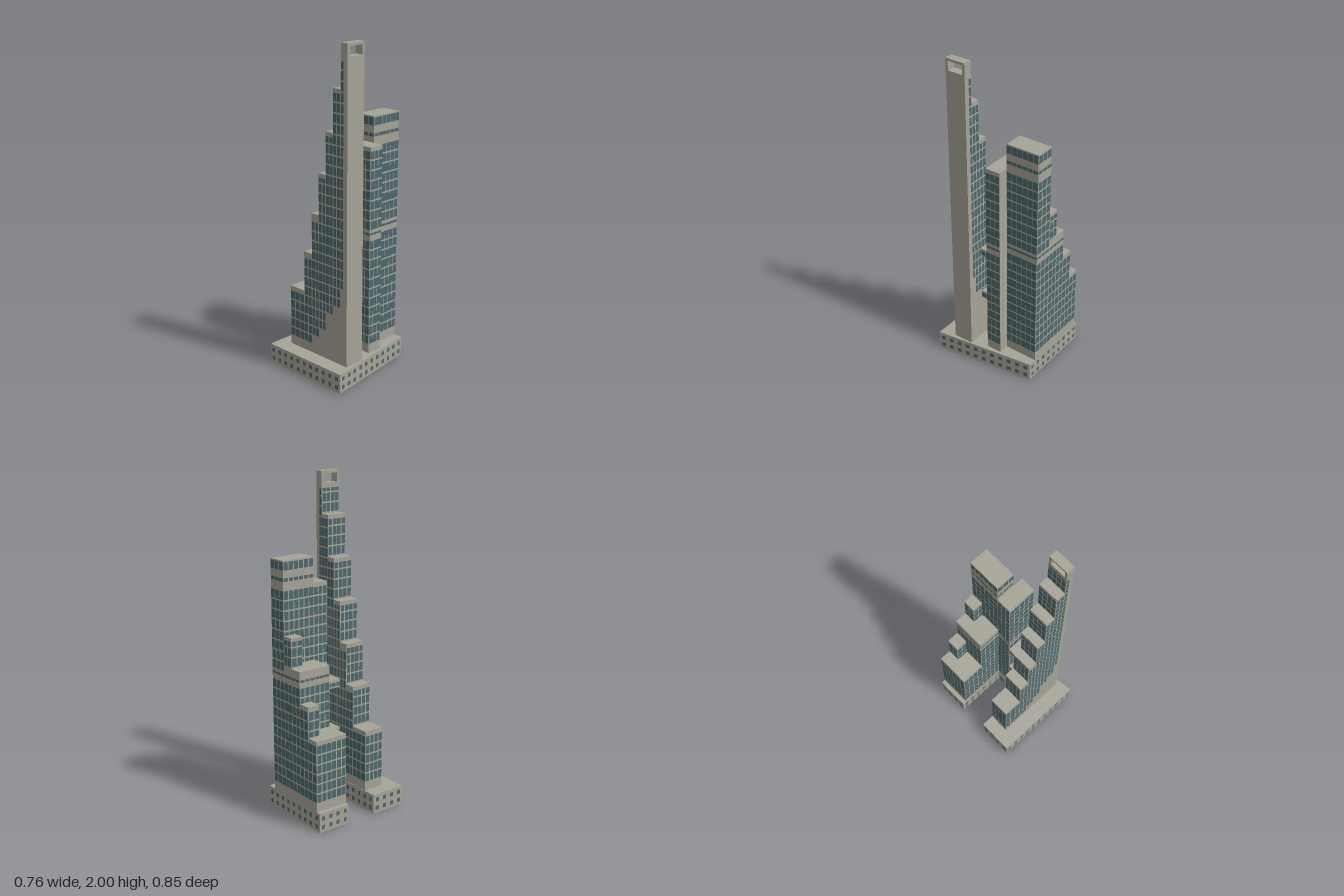
import * as THREE from 'three';
import { mergeGeometries } from 'three/addons/utils/BufferGeometryUtils.js';

const stone = new THREE.MeshStandardMaterial({ color: 0xa6a396 });
stone.name = 'stone';
const glass = new THREE.MeshStandardMaterial({ color: 0x4c686e });
glass.name = 'glass';

const FLOOR = 0.06;
const PODIUM = 0.12;

function addMesh(parent, name, geometry, material) {
  const mesh = new THREE.Mesh(geometry, material);
  mesh.name = name;
  parent.add(mesh);
}

// One floor of glazing after another between two heights
function floors(from, to) {
  const rows = [];
  for (let y = from; y < to - 0.015; y += FLOOR) rows.push([y, Math.min(y + FLOOR - 0.01, to)]);
  return rows;
}

// Flat panes along a wall running from a to b (outside is on the right-hand side, front = +z)
function panes(a, b, rows, cols, gap) {
  const dx = b[0] - a[0], dz = b[1] - a[1];
  const len = Math.hypot(dx, dz);
  const pitch = len / cols;
  const angle = Math.atan2(-dz, dx);
  const list = [];
  for (const [y0, y1] of rows) {
    for (let i = 0; i < cols; i++) {
      const t = (i + 0.5) / cols;
      const pane = new THREE.PlaneGeometry(pitch - gap, y1 - y0);
      pane.translate(0, (y0 + y1) / 2, 0.0015);
      pane.rotateY(angle);
      pane.translate(a[0] + dx * t, 0, a[1] + dz * t);
      list.push(pane);
    }
  }
  return list;
}

// The four wall lines of a rectangular block
function walls(u0, u1, v0, v1) {
  return {
    front: [[u0, v1], [u1, v1]],
    right: [[u1, v1], [u1, v0]],
    back: [[u1, v0], [u0, v0]],
    left: [[u0, v0], [u0, v1]],
  };
}

function addBox(parent, name, u0, u1, v0, v1, y0, y1) {
  const box = new THREE.BoxGeometry(u1 - u0, y1 - y0, v1 - v0);
  box.translate((u0 + u1) / 2, (y0 + y1) / 2, (v0 + v1) / 2);
  addMesh(parent, name, box, stone);
}

// Stone block with glazing on the chosen sides
function addBlock(parent, name, [u0, u1, v0, v1], height, rows, sides) {
  const group = new THREE.Group();
  group.name = name;
  addBox(group, name + 'Body', u0, u1, v0, v1, PODIUM, height);
  const lines = walls(u0, u1, v0, v1);
  const list = sides.flatMap((side) => {
    const [a, b] = lines[side];
    const len = Math.hypot(b[0] - a[0], b[1] - a[1]);
    const gap = side === 'right' ? 0.003 : 0.006;
    return panes(a, b, rows, Math.max(1, Math.round(len / 0.035)), gap);
  });
  addMesh(group, name + 'Windows', mergeGeometries(list), glass);
  parent.add(group);
}

function addPodium(parent) {
  const outline = [
    [-0.266, 0.298], [0.328, 0.298], [0.237, -0.336], [-0.266, -0.336],
    [-0.266, -0.123], [0.06, -0.123], [0.06, 0.07], [-0.266, 0.07],
  ];
  const shape = new THREE.Shape(outline.map(([u, v]) => new THREE.Vector2(u, -v)));
  const body = new THREE.ExtrudeGeometry(shape, { depth: PODIUM, bevelEnabled: false });
  body.rotateX(-Math.PI / 2);
  addMesh(parent, 'podium', body, stone);
  // Two rows of small windows all round
  const rows = [[0.02, 0.046], [0.074, 0.1]];
  const list = outline.flatMap((a, i) => {
    const b = outline[(i + 1) % outline.length];
    const cols = Math.round(Math.hypot(b[0] - a[0], b[1] - a[1]) / 0.056);
    return panes(a, b, rows, cols, 0.032);
  });
  addMesh(parent, 'podiumWindows', mergeGeometries(list), glass);
}

// Slim tower climbing in steps to a tall fin
function addSteppedTower(parent) {
  const tower = new THREE.Group();
  tower.name = 'steppedTower';
  const v0 = 0.073, v1 = 0.202;
  const edges = [-0.183, -0.0625, 0.0026, 0.061, 0.119, 0.1776, 0.236];
  const sills = [0.18, 0.18, 0.24, 0.3, 0.42, 0.48];
  sills.forEach((sill, i) => {
    const height = 0.5 + 0.25 * i;
    const u0 = edges[i], u1 = edges[i + 1];
    const name = 'step' + (i + 1);
    addBlock(tower, name, [u0, u1, v0, v1], height, floors(sill, height - 0.025), ['front', 'back']);
    const from = i ? height - 0.25 + 0.01 : 0.18;
    const [a, b] = walls(u0, u1, v0, v1).left;
    addMesh(tower, name + 'EndWindows',
      mergeGeometries(panes(a, b, floors(from, height - 0.025), 4, 0.006)), glass);
  });

  // Fin with an opening through its top
  const rect = (T, x0, x1, y0, y1) => new T([[x0, y0], [x1, y0], [x1, y1], [x0, y1]]
    .map(([x, y]) => new THREE.Vector2(x, y)));
  const u0 = 0.236, u1 = 0.287;
  const profile = rect(THREE.Shape, -v1, -v0, PODIUM, 2);
  profile.holes.push(rect(THREE.Path, -v1 + 0.016, -v0 - 0.016, 1.93, 1.985));
  const fin = new THREE.ExtrudeGeometry(profile, { depth: u1 - u0, bevelEnabled: false });
  fin.rotateY(Math.PI / 2);
  fin.translate(u0, 0, 0);
  addMesh(tower, 'fin', fin, stone);
  const lines = walls(u0, u0 + 0.024, v0, v1);
  const rows = floors(0.6, 1.9);
  addMesh(tower, 'finWindows', mergeGeometries([
    ...panes(...lines.front, rows, 1, 0.005),
    ...panes(...lines.back, rows, 1, 0.005),
    ...panes(...lines.left, floors(1.76, 1.9), 4, 0.006),
  ]), glass);
  parent.add(tower);
}

// Broad tower with terraces falling away to one end
function addBroadTower(parent) {
  const tower = new THREE.Group();
  tower.name = 'broadTower';
  const back = -0.336, front = -0.123, mid = -0.258;
  const low = floors(0.18, 0.83);
  const belt = [[0.865, 0.88]];
  const high = floors(0.9, 1.37);
  const crown = [[1.425, 1.445], [1.49, 1.537]];
  const all = ['front', 'right', 'back', 'left'];
  const open = ['front', 'back', 'left'];
  addBlock(tower, 'lowTerrace', [-0.24, -0.085, back, front], 0.555, floors(0.18, 0.53), open);
  addBlock(tower, 'lowTurret', [-0.163, -0.085, back, mid], 0.74, floors(0.18, 0.72), open);
  addBlock(tower, 'highTerrace', [-0.085, 0.062, back, front], 0.93, [...low, ...belt], open);
  addBlock(tower, 'highTurret', [-0.0075, 0.062, back, mid], 1.11,
    [...low, ...belt, ...floors(0.94, 1.09)], open);
  addBlock(tower, 'mainBlock', [0.062, 0.183, back, front], 1.545,
    [...low, ...belt, ...high, ...crown], all);
  // Wing beside the main block; its short return wall is plain
  addBlock(tower, 'sideWing', [0.062, 0.25, front, -0.026], 1.39,
    [...low, ...belt, ...floors(0.9, 1.365)], ['front', 'right', 'left']);
  parent.add(tower);
}

// Glazed bridges joining the two towers
function addBridges(parent) {
  const u0 = 0.062, u1 = 0.176, v0 = -0.026, v1 = 0.073;
  [0.46, 0.77].forEach((top, i) => {
    const name = i ? 'upperBridge' : 'lowerBridge';
    addBox(parent, name, u0, u1, v0, v1, top - 0.05, top);
    const { left, right } = walls(u0, u1, v0, v1);
    const rows = [[top - 0.04, top - 0.016]];
    addMesh(parent, name + 'Windows',
      mergeGeometries([...panes(...left, rows, 3, 0.005), ...panes(...right, rows, 3, 0.005)]), glass);
  });
}

export function createModel() {
  const model = new THREE.Group();
  model.name = 'towerComplex';
  const site = new THREE.Group();
  site.name = 'site';
  site.rotation.y = THREE.MathUtils.degToRad(-30.5);
  addPodium(site);
  addSteppedTower(site);
  addBroadTower(site);
  addBridges(site);
  model.add(site);
  return model;
}
